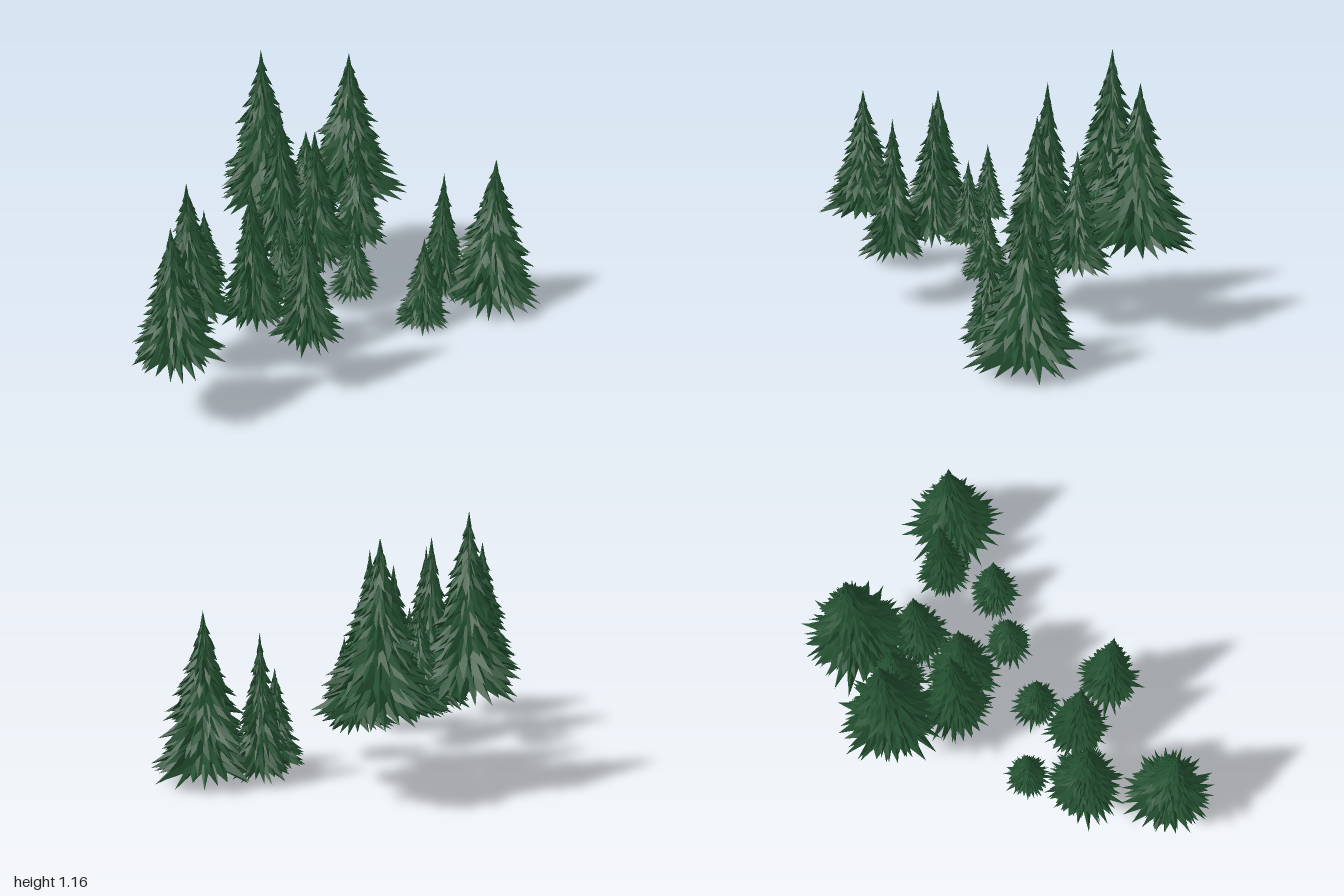
import * as THREE from 'three';

// Seeded random numbers so every tree is slightly different but repeatable
function makeRandom(seed) {
  let s = seed;
  return () => {
    s = (s * 16807) % 2147483647;
    return s / 2147483647;
  };
}

// x, z, foot height, top height, branch radius
const TREES = [
  [-0.155, -0.70, 0.38, 1.10, 0.265],
  [-0.52, -0.48, 0.42, 1.175, 0.24],
  [-0.38, -0.22, 0.31, 1.03, 0.18],
  [-0.22, -0.22, 0.28, 0.91, 0.185],
  [-0.32, -0.50, 0.34, 0.78, 0.16],
  [-0.07, -0.45, 0.27, 0.80, 0.16],
  [-0.01, -0.05, 0.21, 0.56, 0.125],
  [0.575, -0.42, 0.045, 0.75, 0.25],
  [0.34, -0.42, 0.04, 0.66, 0.14],
  [0.29, -0.17, 0.02, 0.45, 0.135],
  [-0.30, 0.13, 0.27, 0.66, 0.12],
  [-0.64, 0.15, 0.30, 0.66, 0.11],
  [-0.64, 0.40, 0.29, 0.91, 0.19],
  [-0.38, 0.33, 0.26, 0.90, 0.16],
  [-0.125, 0.43, 0.24, 0.87, 0.16],
  [-0.605, 0.77, 0.29, 0.89, 0.21],
];

// One fir: stacked star-shaped cones of drooping, pointed branches
function firGeometry(height, radius, random) {
  const positions = [];
  const tri = (a, b, c) => positions.push(...a, ...b, ...c);

  // Star cone whose rim alternates between branch tips and notches
  function addTier(rim, peakY, r, points) {
    const turn = random() * Math.PI * 2;
    const peak = [0, peakY, 0];
    const under = [0, rim + (peakY - rim) * 0.3, 0];
    const ring = [];
    for (let k = 0; k < points * 2; k++) {
      const tip = k % 2 === 0;
      const angle = turn + (k + (random() - 0.5) * 0.8) * Math.PI / points;
      const d = r * (tip ? 0.74 + random() * 0.34 : 0.56 + random() * 0.1);
      const y = rim + height * (tip ? (random() - 0.5) * 0.05 : 0.04 + random() * 0.015);
      ring.push([Math.sin(angle) * d, y, Math.cos(angle) * d]);
    }
    ring.forEach((a, k) => {
      const b = ring[(k + 1) % ring.length];
      tri(peak, a, b);
      tri(under, b, a);
    });
  }

  const tiers = 13;
  for (let i = 0; i < tiers; i++) {
    const t = i / (tiers - 1);
    const rim = height * (0.01 + 0.83 * t);
    const r = radius * (0.12 + 0.88 * Math.pow(1 - t, 0.92));
    addTier(rim, Math.min(height * 0.945, rim + height * (0.23 - 0.11 * t)), r, Math.round(24 - 12 * t));
  }
  // Slim leader shoot at the top
  addTier(height * 0.88, height, radius * 0.07, 5);

  const geometry = new THREE.BufferGeometry();
  geometry.setAttribute('position', new THREE.Float32BufferAttribute(positions, 3));
  geometry.computeVertexNormals();
  return geometry;
}

export function createModel() {
  const group = new THREE.Group();
  group.name = 'firGrove';
  const needles = new THREE.MeshStandardMaterial({ color: 0x234f30, flatShading: true });
  needles.name = 'dark green needles';

  TREES.forEach(([x, z, foot, top, radius], i) => {
    const tree = new THREE.Mesh(firGeometry(top - foot, radius, makeRandom(1234 + i * 777)), needles);
    tree.name = `firTree${i + 1}`;
    tree.position.set(x, foot, z);
    group.add(tree);
  });
  return group;
}
